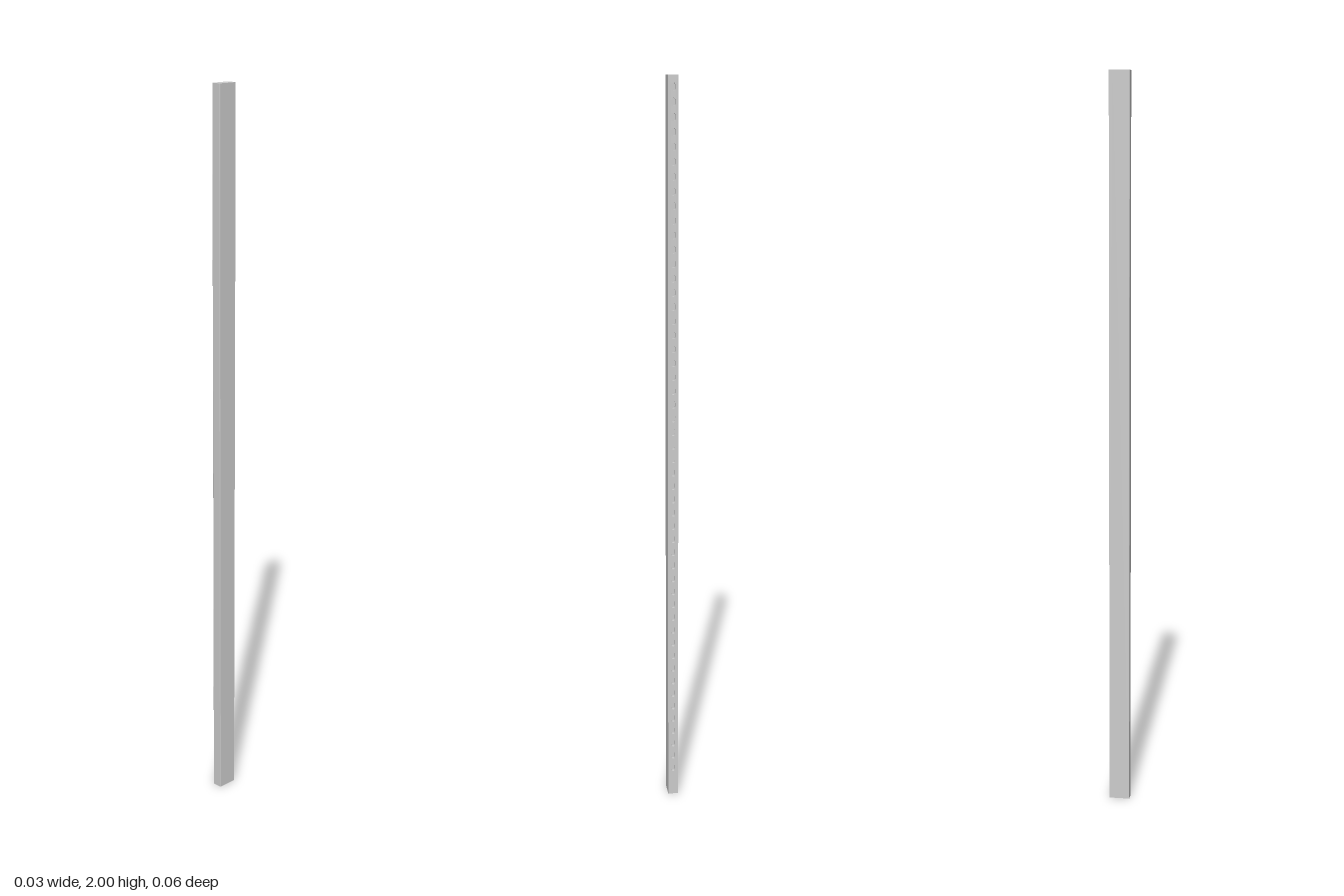
import * as THREE from 'three';

const W = 0.028, D = 0.056, H = 2;     // post section and height
const POCKET = 0.01;                   // depth of the slots
const R = 0.002;                       // rounding of the front edges

// Upright slot outline with round ends
function slot(cy, w, h) {
  const r = w / 2, s = h / 2 - r, p = new THREE.Path();
  p.absarc(0, cy + s, r, 0, Math.PI, false);
  p.absarc(0, cy - s, r, Math.PI, Math.PI * 2, false);
  p.closePath();
  return p;
}

export function createModel() {
  const group = new THREE.Group();
  const material = new THREE.MeshStandardMaterial({ color: 0xcccccc });
  const x = W / 2, front = D / 2, back = -D / 2 + POCKET;

  // Solid post, extruded upwards (shape y becomes -z)
  const section = new THREE.Shape();
  section.moveTo(-x, -back);
  section.lineTo(-x, -front + R);
  section.quadraticCurveTo(-x, -front, -x + R, -front);
  section.lineTo(x - R, -front);
  section.quadraticCurveTo(x, -front, x, -front + R);
  section.lineTo(x, -back);
  section.closePath();
  const bodyGeo = new THREE.ExtrudeGeometry(section, { depth: H, bevelEnabled: false, curveSegments: 4 });
  bodyGeo.rotateX(-Math.PI / 2);
  const body = new THREE.Mesh(bodyGeo, material);
  body.name = 'post';
  group.add(body);

  // Back strip with a column of slots
  const strip = new THREE.Shape();
  strip.moveTo(-x, 0);
  strip.lineTo(x, 0);
  strip.lineTo(x, H);
  strip.lineTo(-x, H);
  strip.closePath();
  const count = 51, first = 0.08, pitch = 0.0378;
  for (let i = 0; i < count; i++) strip.holes.push(slot(first + i * pitch, 0.011, 0.021));
  const stripGeo = new THREE.ExtrudeGeometry(strip, { depth: POCKET, bevelEnabled: false, curveSegments: 8 });
  const slottedStrip = new THREE.Mesh(stripGeo, material);
  slottedStrip.position.z = -D / 2;
  slottedStrip.name = 'slottedBackStrip';
  group.add(slottedStrip);

  return group;
}
